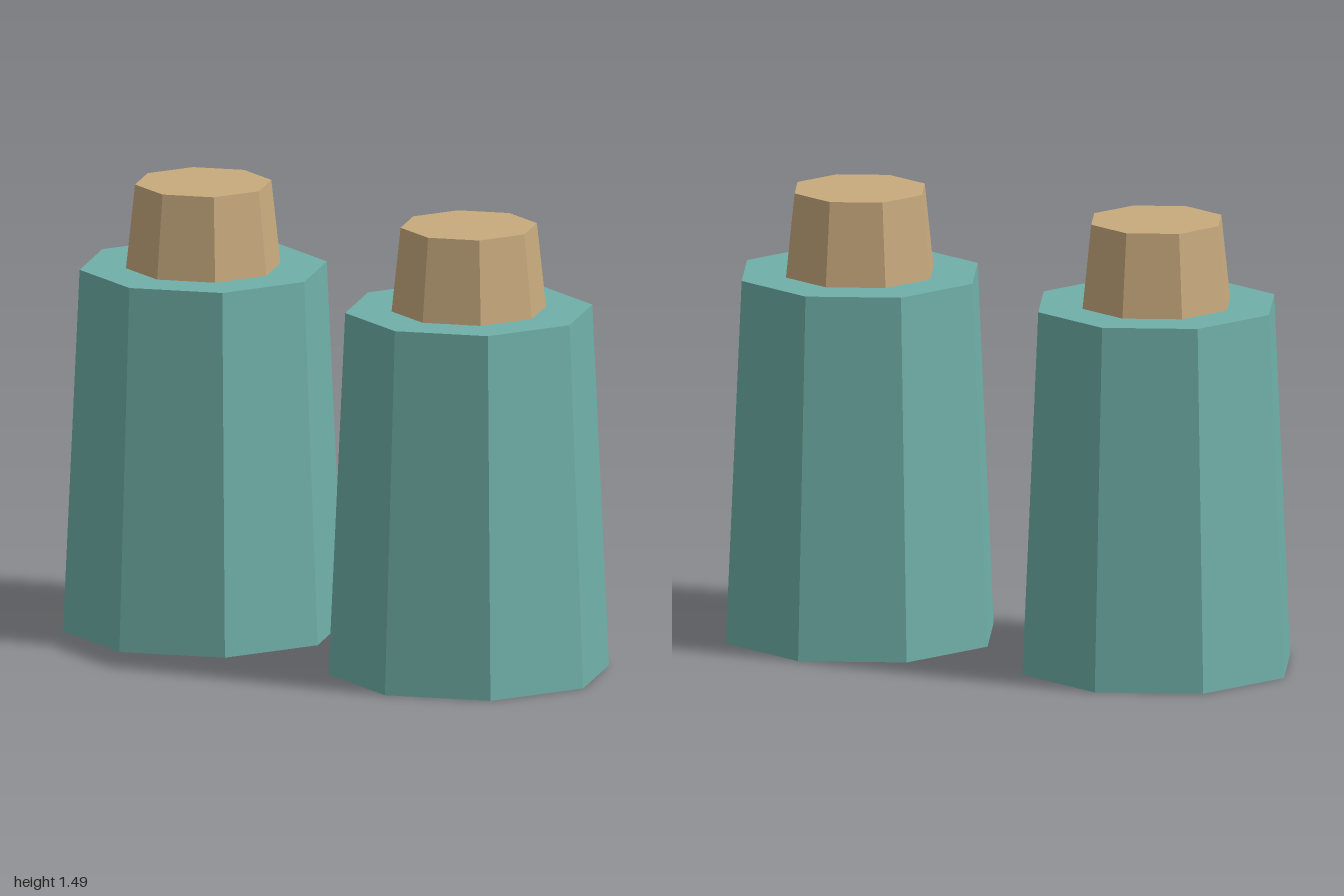
import * as THREE from 'three';

const teal = new THREE.MeshStandardMaterial({ color: 0x70b0a8 });
teal.name = 'teal';
const tan = new THREE.MeshStandardMaterial({ color: 0xc8aa7d });
tan.name = 'tan';

// Tapered octagonal prism standing on y, with hard facets
function taperedOctagon(name, rTop, rBottom, y, height, material) {
  const geometry = new THREE.CylinderGeometry(rTop, rBottom, height, 8).toNonIndexed();
  geometry.computeVertexNormals();
  const mesh = new THREE.Mesh(geometry, material);
  mesh.name = name;
  mesh.position.y = y + height / 2;
  return mesh;
}

// One container: wide body with a narrower stopper on top
function createBottle(name, x) {
  const bottle = new THREE.Group();
  bottle.name = name;
  bottle.position.x = x;
  bottle.add(
    taperedOctagon('body', 0.408, 0.463, 0, 1.208, teal),
    taperedOctagon('stopper', 0.225, 0.255, 1.208, 0.279, tan)
  );
  return bottle;
}

export function createModel() {
  const model = new THREE.Group();
  model.name = 'bottlePair';
  model.add(createBottle('leftBottle', 0.537), createBottle('rightBottle', -0.537));
  return model;
}
